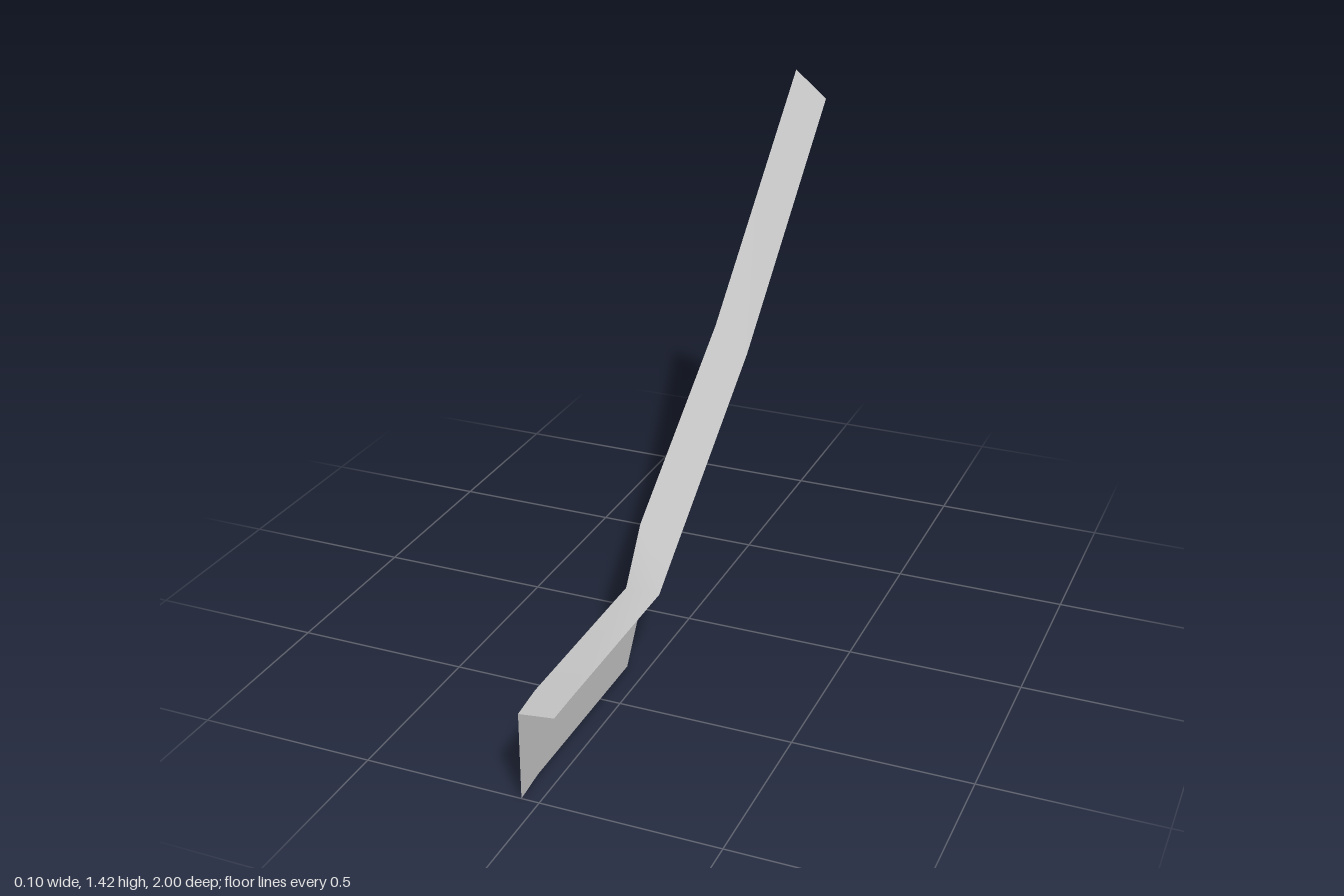
import * as THREE from 'three';

// Stations from front to back: z, height of the folded edge, height of the free edge
const stations = [
  [1.0, 0.255, 0.266],
  [0.905, 0.268, 0.268],
  [0.338, 0.27, 0.27],
  [0.236, 0.42, 0.342],
  [-0.327, 0.808, 0.732],
  [-1.0, 1.418, 1.335],
];
const HALF_WIDTH = 0.05;
const WALL_HEIGHT = 0.253;

// Ribbon between two edges, each a list of points of equal length
function ribbon(edgeA, edgeB) {
  const positions = [];
  const index = [];
  edgeA.forEach((a, i) => {
    positions.push(...a, ...edgeB[i]);
    if (i > 0) {
      const k = 2 * i;
      index.push(k - 2, k - 1, k, k - 1, k + 1, k);
    }
  });
  const geometry = new THREE.BufferGeometry();
  geometry.setAttribute('position', new THREE.Float32BufferAttribute(positions, 3));
  geometry.setIndex(index);
  geometry.computeVertexNormals();
  return geometry;
}

export function createModel() {
  const group = new THREE.Group();
  group.name = 'stairTrim';
  const grey = new THREE.MeshStandardMaterial({ color: 0xc0c0c0, side: THREE.DoubleSide });
  grey.name = 'light grey';

  const fold = stations.map(([z, y]) => [-HALF_WIDTH, y, z]);
  const free = stations.map(([z, , y]) => [HALF_WIDTH, y, z]);
  const foot = stations.map(([z, y]) => [-HALF_WIDTH, Math.max(0, y - WALL_HEIGHT), z]);

  // Twisting cap strip along the top
  const cap = new THREE.Mesh(ribbon(fold, free), grey);
  cap.name = 'topStrip';

  // Upright side sheet hanging from the folded edge
  const wall = new THREE.Mesh(ribbon(foot, fold), grey);
  wall.name = 'sideWall';

  group.add(cap, wall);
  return group;
}
